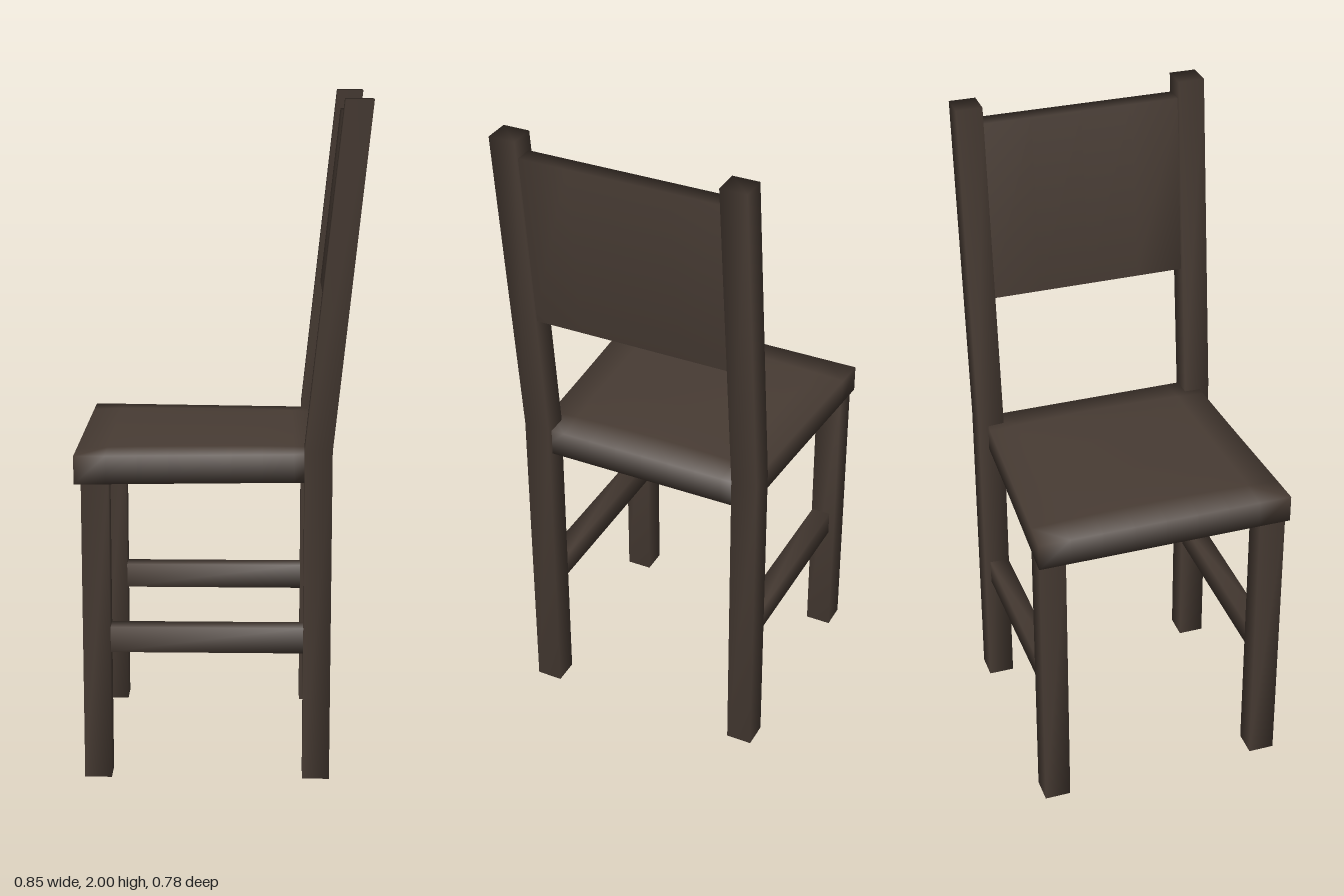
import * as THREE from 'three';
import { mergeVertices } from 'three/addons/utils/BufferGeometryUtils.js';

const wood = new THREE.MeshStandardMaterial({ color: 0x483c34 });
wood.name = 'darkWood';

// Box given by its limits, with softened normals and an optional rule that moves vertices
function softBox(name, [x0, x1], [y0, y1], [z0, z1], segments = [1, 1, 1], rule) {
  let geometry = new THREE.BoxGeometry(x1 - x0, y1 - y0, z1 - z0, ...segments);
  geometry.translate((x0 + x1) / 2, (y0 + y1) / 2, (z0 + z1) / 2);
  geometry.deleteAttribute('uv');
  geometry.deleteAttribute('normal');
  geometry = mergeVertices(geometry);
  if (rule) {
    const p = geometry.attributes.position;
    const v = new THREE.Vector3();
    for (let i = 0; i < p.count; i++) {
      rule(v.fromBufferAttribute(p, i));
      p.setXYZ(i, v.x, v.y, v.z);
    }
  }
  geometry.computeVertexNormals();
  const mesh = new THREE.Mesh(geometry, wood);
  mesh.name = name;
  return mesh;
}

// Everything above the seat leans back
const lean = (v) => { v.x += 0.105 * Math.max(0, v.y - 1); };

// Seat tapers towards the back and swells slightly on top
const shapeSeat = (v) => {
  const across = v.z;
  const along = (v.x + 0.065) / 0.365;
  if (v.y > 0.95) v.y += 0.016 * (1 - across ** 2) * (1 - along ** 4);
  v.z *= v.x < 0 ? 0.365 - v.x * 0.058 : 0.365 - v.x * 0.05;
};

export function createModel() {
  const chair = new THREE.Group();
  chair.name = 'chair';

  chair.add(softBox('seat', [-0.43, 0.3], [0.9, 0.984], [-1, 1], [8, 1, 8], shapeSeat));

  // Legs and side stretchers, one set per side
  for (const side of [-1, 1]) {
    const span = (a, b) => (side > 0 ? [a, b] : [-b, -a]);
    chair.add(softBox('frontLeg', [-0.41, -0.33], [0, 0.91], span(0.303, 0.383)));
    chair.add(softBox('backLeg', [0.238, 0.318], [0, 2], span(0.303, 0.383), [1, 2, 1], lean));
    chair.add(softBox('sideStretcher', [-0.34, 0.25], [0.385, 0.462], span(0.305, 0.365)));
  }

  // Back panel between the leaning uprights
  chair.add(softBox('backPanel', [0.253, 0.31], [1.4, 1.945], [-0.31, 0.31], [1, 1, 4], lean));

  return chair;
}
